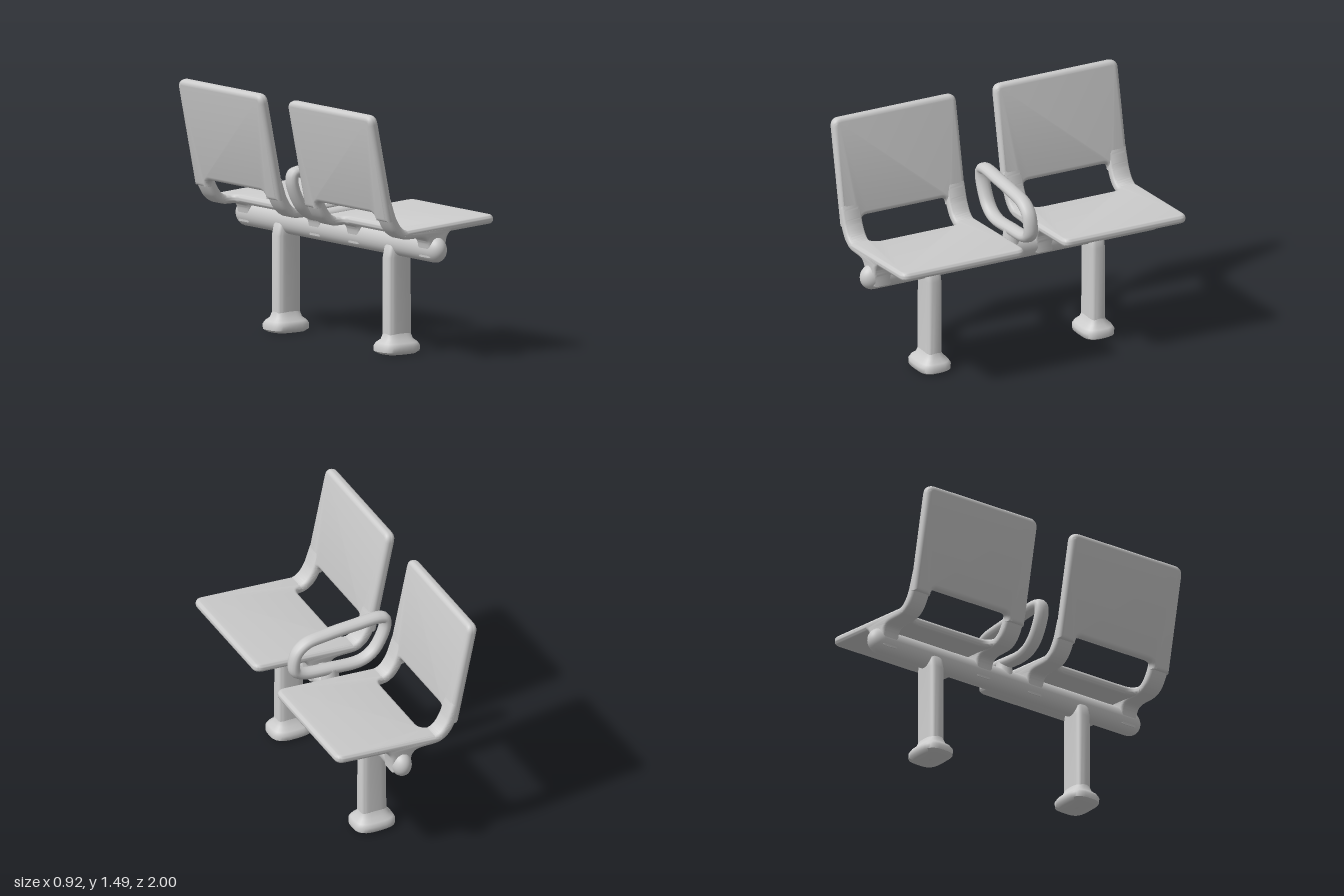
import * as THREE from 'three';
import { toCreasedNormals } from 'three/addons/utils/BufferGeometryUtils.js';

const material = new THREE.MeshStandardMaterial({ color: 0xcccccc });
const V = (x, y, z = 0) => new THREE.Vector3(x, y, z);

function add(parent, name, geometry) {
  const mesh = new THREE.Mesh(geometry, material);
  mesh.name = name;
  parent.add(mesh);
  return mesh;
}

// Bevelled slab centred on its own depth
function slab(shape, depth, bevel) {
  const geo = new THREE.ExtrudeGeometry(shape, {
    depth: depth - 2 * bevel, bevelThickness: bevel, bevelSize: bevel,
    bevelOffset: -bevel, bevelSegments: 4, curveSegments: 8,
  });
  geo.translate(0, 0, -(depth - 2 * bevel) / 2);
  return toCreasedNormals(geo, 0.8);
}

// Rounded panel with two short arms left and right of a notch at its lower edge
function panelShape(length, notch, notchRadius) {
  const w = 0.41, n = 0.285, r = 0.055, q = notchRadius;
  const s = new THREE.Shape();
  s.moveTo(-w, 0);
  s.lineTo(-n, 0);
  s.lineTo(-n, notch - q);
  s.quadraticCurveTo(-n, notch, -n + q, notch);
  s.lineTo(n - q, notch);
  s.quadraticCurveTo(n, notch, n, notch - q);
  s.lineTo(n, 0);
  s.lineTo(w, 0);
  s.lineTo(w, length - r);
  s.quadraticCurveTo(w, length, w - r, length);
  s.lineTo(-w + r, length);
  s.quadraticCurveTo(-w, length, -w, length - r);
  s.closePath();
  return s;
}

// Panel whose length runs from one point to another in the side plane
function panel(parent, name, from, to, notch, q, thickness) {
  const dir = to.clone().sub(from);
  const length = dir.length();
  dir.normalize();
  const side = V(0, 0, 1);
  const m = new THREE.Matrix4().makeBasis(side, dir, side.clone().cross(dir)).setPosition(from);
  const geo = slab(panelShape(length, notch, q), thickness, thickness * 0.42);
  add(parent, name, geo.applyMatrix4(m));
}

// Side arm: bends from the back into the seat and drops to the beam
function sideArmGeometry() {
  const s = new THREE.Shape();
  s.moveTo(-0.352, 0.97);
  s.splineThru([[-0.33, 0.88], [-0.29, 0.80], [-0.245, 0.755], [-0.19, 0.735], [-0.08, 0.732],
    [-0.04, 0.71], [-0.025, 0.66], [-0.02, 0.61]].map(p => new THREE.Vector2(...p)));
  s.lineTo(0.095, 0.61);
  s.splineThru([[0.1, 0.68], [0.115, 0.735], [0.16, 0.765], [0.26, 0.775]]
    .map(p => new THREE.Vector2(...p)));
  s.lineTo(0.26, 0.805);
  s.lineTo(0, 0.797);
  s.splineThru([[-0.1, 0.79], [-0.175, 0.788], [-0.22, 0.81], [-0.255, 0.86], [-0.275, 0.91], [-0.298, 0.98]]
    .map(p => new THREE.Vector2(...p)));
  s.closePath();
  return slab(s, 0.125, 0.022);
}

// Stack of rounded-square sections, each [y, half x, half z], with closed ends
function loft(sections, sides = 32, power = 0.55) {
  const pos = [], index = [];
  const soft = v => Math.sign(v) * Math.abs(v) ** power;
  for (const [y, hx, hz] of sections) {
    for (let i = 0; i < sides; i++) {
      const a = (i / sides) * Math.PI * 2;
      pos.push(soft(Math.cos(a)) * hx, y, soft(Math.sin(a)) * hz);
    }
  }
  for (let j = 0; j < sections.length - 1; j++) {
    for (let i = 0; i < sides; i++) {
      const a = j * sides + i, b = j * sides + (i + 1) % sides;
      index.push(a, a + sides, b, b, a + sides, b + sides);
    }
  }
  const geo = new THREE.BufferGeometry();
  geo.setAttribute('position', new THREE.Float32BufferAttribute(pos, 3));
  geo.setIndex(index);
  return toCreasedNormals(geo, 0.9);
}

function createSeat(z) {
  const seat = new THREE.Group();
  seat.name = 'seat';
  panel(seat, 'seatPanel', V(-0.2, 0.762), V(0.46, 0.803), 0.06, 0.06, 0.052);
  panel(seat, 'backrest', V(-0.303, 0.85), V(-0.435, 1.488), 0.045, 0.04, 0.064);
  const arm = sideArmGeometry();
  for (const s of [-1, 1]) add(seat, 'sideArm', arm).position.z = s * 0.3475;
  seat.position.z = z;
  return seat;
}

function createLeg(z) {
  const leg = new THREE.Group();
  leg.name = 'leg';
  add(leg, 'post', loft([
    [0.05, 0.088, 0.055], [0.1, 0.084, 0.05], [0.57, 0.083, 0.05],
    [0.63, 0.07, 0.048], [0.66, 0.05, 0.04], [0.66, 0, 0],
  ]));
  add(leg, 'foot', loft([
    [0, 0, 0], [0, 0.105, 0.085], [0.015, 0.13, 0.103], [0.045, 0.132, 0.105],
    [0.065, 0.12, 0.092], [0.085, 0.095, 0.066], [0.12, 0.084, 0.05],
  ], 32, 0.65));
  leg.position.set(0.035, 0, z);
  return leg;
}

function createArmrest() {
  const armrest = new THREE.Group();
  armrest.name = 'armrest';
  // Closed loop, wider across than it is deep
  const path = new THREE.CatmullRomCurve3([
    V(-0.28, 1.035), V(-0.12, 1.027), V(0.06, 1.013), V(0.19, 0.992), V(0.25, 0.945), V(0.272, 0.88),
    V(0.268, 0.82), V(0.22, 0.79), V(0.04, 0.772), V(-0.16, 0.768), V(-0.24, 0.81),
    V(-0.295, 0.89), V(-0.325, 0.98), V(-0.318, 1.022),
  ], true);
  add(armrest, 'armLoop', new THREE.TubeGeometry(path, 120, 0.034, 14, true)).scale.z = 1.32;
  const post = add(armrest, 'armPost', new THREE.CylinderGeometry(0.045, 0.06, 0.12, 20));
  post.position.set(0.035, 0.72, 0);
  return armrest;
}

export function createModel() {
  const model = new THREE.Group();
  model.name = 'doubleBenchSeat';

  // Long beam with rounded ends
  const beam = add(model, 'beam', new THREE.CapsuleGeometry(0.077, 1.846, 10, 28)
    .rotateX(Math.PI / 2).scale(0.8, 1, 1));
  beam.position.set(0.035, 0.655, 0);

  for (const s of [-1, 1]) {
    model.add(createSeat(s * 0.537));
    model.add(createLeg(s * 0.543));
  }
  model.add(createArmrest());
  return model;
}
